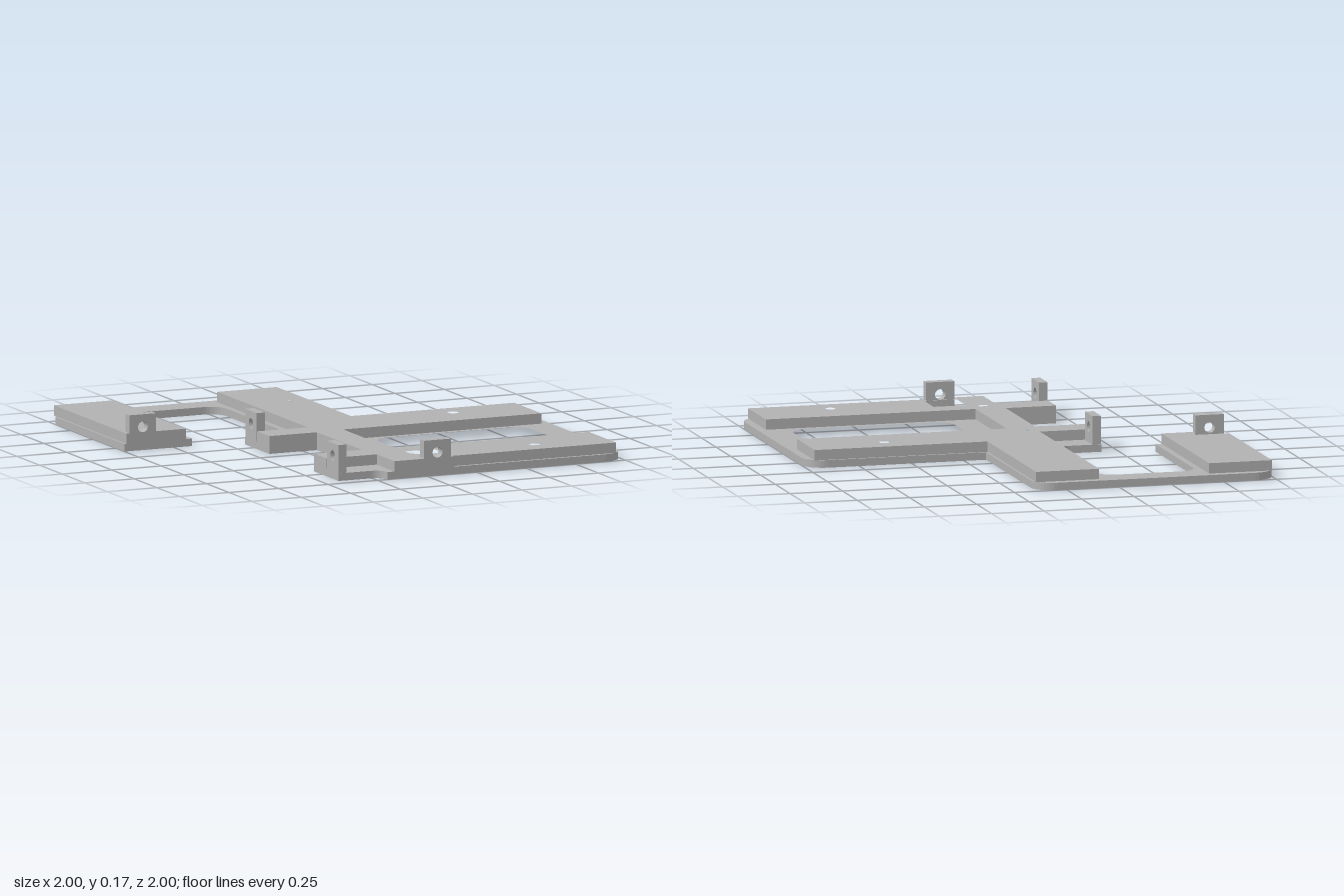
import * as THREE from 'three';

const BASE = 0.035, TOP = 0.083, TAB_TOP = 0.167, BORE = 0.025;

// Closed outline from [x, z, cornerRadius] points; corners are right angles
function outline(points, Type = THREE.Shape) {
  const path = new Type();
  const v = points.map(([x, z]) => new THREE.Vector2(x, -z));
  const n = v.length, k = 0.5523;
  for (let i = 0; i < n; i++) {
    const p = v[i], r = points[i][2] || 0;
    const a = v[(i + n - 1) % n].clone().sub(p).normalize();
    const b = v[(i + 1) % n].clone().sub(p).normalize();
    const s = p.clone().addScaledVector(a, r), e = p.clone().addScaledVector(b, r);
    if (i === 0) path.moveTo(s.x, s.y); else path.lineTo(s.x, s.y);
    if (r) {
      const c1 = s.clone().addScaledVector(a, -r * k), c2 = e.clone().addScaledVector(b, -r * k);
      path.bezierCurveTo(c1.x, c1.y, c2.x, c2.y, e.x, e.y);
    }
  }
  path.closePath();
  return path;
}

const rect = (x0, x1, z0, z1, r = 0) => [[x0, z0, r], [x1, z0, r], [x1, z1, r], [x0, z1, r]];

function roundHole(x, y) {
  const p = new THREE.Path();
  p.absarc(x, y, BORE, 0, Math.PI * 2, true);
  return p;
}

// Hexagonal nut recess cut through the base layer
function hexHole(x, y) {
  const p = new THREE.Path();
  for (let i = 0; i < 6; i++) {
    const a = i * Math.PI / 3, px = x + 0.042 * Math.cos(a), py = y + 0.042 * Math.sin(a);
    if (i) p.lineTo(px, py); else p.moveTo(px, py);
  }
  p.closePath();
  return p;
}

export function createModel() {
  const group = new THREE.Group();
  const grey = new THREE.MeshStandardMaterial({ color: 0xb2b2b2 });
  grey.name = 'grey plastic';

  const add = (name, geometry) => {
    const mesh = new THREE.Mesh(geometry, grey);
    mesh.name = name;
    group.add(mesh);
    return mesh;
  };

  // Flat slab lying between heights y0 and y1
  const slab = (name, points, holes, y0, y1) => {
    const shape = outline(points);
    shape.holes.push(...holes);
    const g = new THREE.ExtrudeGeometry(shape, { depth: y1 - y0, bevelEnabled: false, curveSegments: 10 });
    g.rotateX(-Math.PI / 2).translate(0, y0, 0);
    return add(name, g);
  };

  const sideScrew = [[-0.88, -0.605]];
  const mainScrews = [[0.025, -0.605], [0.6, -0.03], [-0.1, 0.09], [-0.1, 0.755], [0.6, 0.875]];

  // Base plate with rounded corners, window and nut recesses
  slab('basePlate', [
    [-1, -0.157], [-1, -1, 0.1], [0.145, -1, 0.1], [0.145, -0.15], [1, -0.15, 0.1], [1, 1, 0.1],
    [-0.2, 1], [-0.2, 0.94, 0.058], [-0.42, 0.94], [-0.42, 0.67], [-0.18, 0.67], [-0.18, 0.175],
    [-0.42, 0.175], [-0.42, -0.095], [-0.195, -0.095, 0.075], [-0.195, -0.87, 0.08],
    [-0.66, -0.87, 0.08], [-0.66, -0.157],
  ], [
    outline(rect(0.09, 0.86, 0.19, 0.655, 0.08), THREE.Path),
    ...[...sideScrew, ...mainScrews].map(([x, z]) => hexHole(x, -z)),
  ], 0, BASE);

  // Raised bars with screw holes and a pocket behind the front tab
  slab('raisedFrame', [
    [-0.165, -0.96], [0.135, -0.96], [0.135, -0.14], [0.96, -0.14], [0.96, 0.16], [-0.04, 0.16],
    [-0.04, 0.685], [0.96, 0.685], [0.96, 0.985], [0.135, 0.985], [0.135, 1], [-0.165, 1],
    [-0.165, 0.805], [-0.42, 0.805], [-0.42, 0.67], [-0.18, 0.67], [-0.18, 0.175],
    [-0.42, 0.175], [-0.42, 0.04], [-0.165, 0.04],
  ], [
    outline(rect(-0.025, 0.13, 0.79, 0.95), THREE.Path),
    ...mainScrews.map(([x, z]) => roundHole(x, -z)),
  ], BASE, TOP);

  // Separate raised bar on the far arm
  slab('raisedSideBar', rect(-0.99, -0.69, -0.96, -0.157), [
    outline(rect(-0.982, -0.83, -0.235, -0.2), THREE.Path),
    ...sideScrew.map(([x, z]) => roundHole(x, -z)),
  ], BASE, TOP);

  // Upright drilled tabs
  const tab = (name, width, depth, y0, x, z, turned) => {
    const shape = new THREE.Shape();
    const w = width / 2;
    shape.moveTo(-w, y0).lineTo(w, y0).lineTo(w, TAB_TOP).lineTo(-w, TAB_TOP).closePath();
    shape.holes.push(roundHole(0, 0.108));
    const g = new THREE.ExtrudeGeometry(shape, { depth, bevelEnabled: false, curveSegments: 10 });
    g.translate(0, 0, -depth / 2);
    const mesh = add(name, g);
    mesh.position.set(x, 0, z);
    if (turned) mesh.rotation.y = Math.PI / 2;
  };
  tab('frontTab', 0.135, 0.045, BASE, 0.052, 0.9775);
  tab('sideBarTab', 0.135, 0.043, BASE, -0.907, -0.1785);
  for (const z of [-0.028, 0.875]) tab('armTab', 0.125, 0.042, BASE, -0.399, z, true);

  return group;
}
